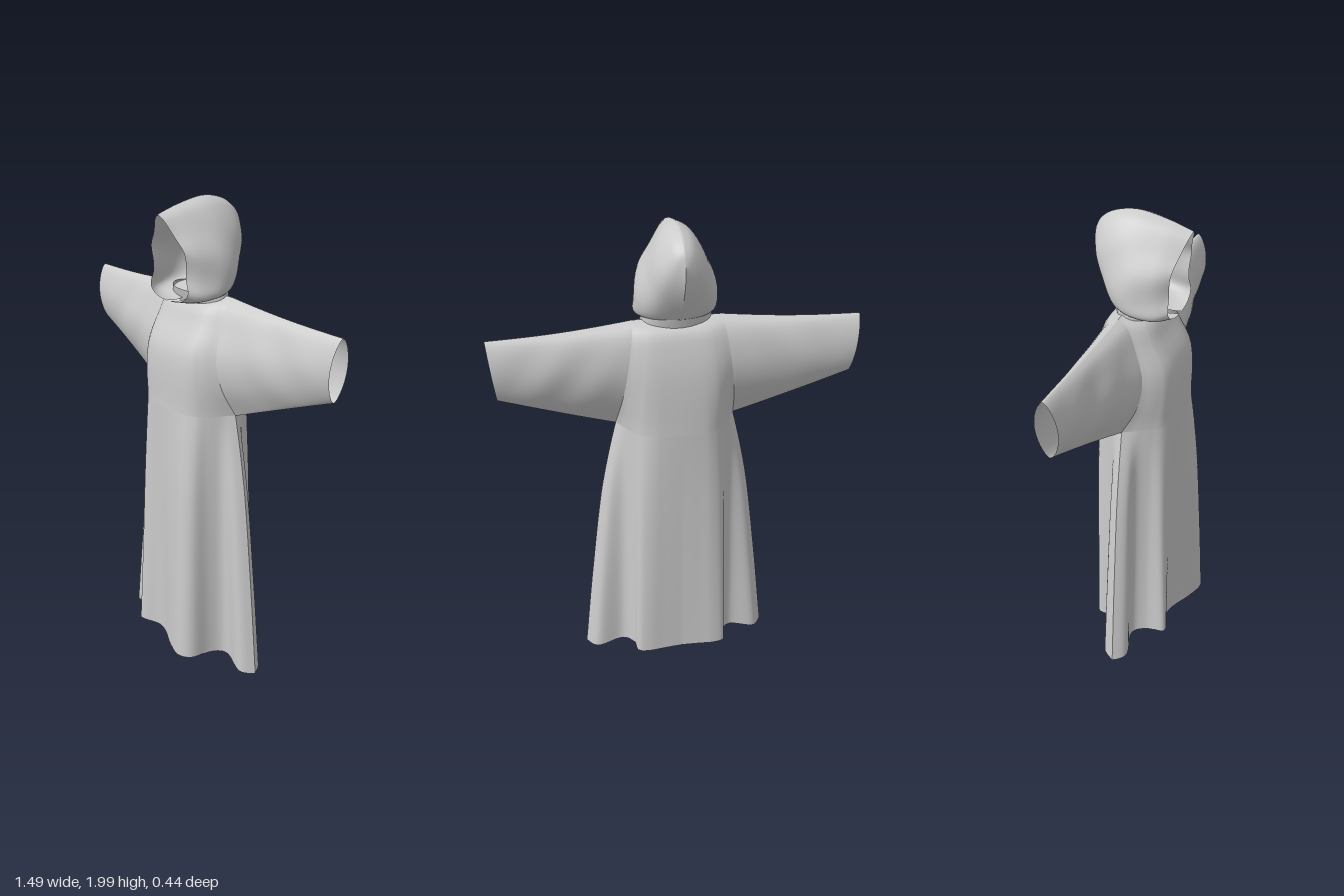
import * as THREE from 'three';

const lerp = THREE.MathUtils.lerp;
const V2 = (list) => new THREE.SplineCurve(list.map(([x, y]) => new THREE.Vector2(x, y)));

// Smooth interpolation through [position, value] pairs
function key(k, x) {
  let i = 0;
  while (i < k.length - 2 && x > k[i + 1][0]) i++;
  const slope = (j) => {
    const a = k[Math.max(j - 1, 0)], b = k[Math.min(j + 1, k.length - 1)];
    return (b[1] - a[1]) / (b[0] - a[0]);
  };
  const h = k[i + 1][0] - k[i][0];
  const t = THREE.MathUtils.clamp((x - k[i][0]) / h, 0, 1), t2 = t * t, t3 = t2 * t;
  return (2 * t3 - 3 * t2 + 1) * k[i][1] + (t3 - 2 * t2 + t) * h * slope(i) +
    (3 * t2 - 2 * t3) * k[i + 1][1] + (t3 - t2) * h * slope(i + 1);
}

// Grid surface from a rule f(u, v) -> [x, y, z]
function surface(name, nu, nv, f) {
  const pos = [], idx = [];
  for (let j = 0; j <= nv; j++) {
    for (let i = 0; i <= nu; i++) {
      pos.push(...f(i / nu, j / nv));
      if (i < nu && j < nv) {
        const a = j * (nu + 1) + i, b = a + 1, c = a + nu + 1, d = c + 1;
        idx.push(a, b, d, a, d, c);
      }
    }
  }
  const g = new THREE.BufferGeometry();
  g.setAttribute('position', new THREE.Float32BufferAttribute(pos, 3));
  g.setIndex(idx);
  g.computeVertexNormals();
  const mesh = new THREE.Mesh(g, new THREE.MeshStandardMaterial({ color: 0xcccccc, side: THREE.DoubleSide }));
  mesh.name = name;
  return mesh;
}

const ARMPIT = 1.16, SHOULDER = 1.625;
// Cosine spacing shared by armholes and sleeves so their seams meet
const cosine = (t) => (1 - Math.cos(Math.PI * t)) / 2;

// How far the skirt has narrowed from hem (0) to armpit (1)
const NARROW = [[0, 0], [0.4, 0.26], [0.8, 0.56], [1.0, 0.78], [ARMPIT, 1]];
const SEAM_X = [[ARMPIT, 0.25], [1.4, 0.215], [SHOULDER, 0.18]];
// Panel profiles: hem is [x, z], chest is [x, depth fraction]
const CHEST = V2([[0, 1], [0.06, 0.99], [0.115, 0.95], [0.16, 0.82], [0.19, 0.61], [0.215, 0.38], [0.235, 0.16], [0.25, 0]]);
const PANELS = {
  front: {
    sign: 1,
    hem: V2([[0, 0.16], [0.08, 0.165], [0.16, 0.185], [0.205, 0.165], [0.215, 0.08], [0.26, 0.025], [0.37, 0.05], [0.42, 0]]),
    centre: [[ARMPIT, 0.155], [1.4, 0.145], [1.52, 0.085], [1.6, 0.035], [SHOULDER, -0.05]],
    edge: [[ARMPIT, -0.01], [1.28, 0.05], [1.4, 0.065], [1.52, 0.028], [1.6, -0.01], [SHOULDER, -0.05]],
  },
  back: {
    sign: -1,
    hem: V2([[0, -0.17], [0.08, -0.175], [0.15, -0.18], [0.2, -0.165], [0.21, -0.1], [0.26, -0.05], [0.37, -0.06], [0.42, 0]]),
    centre: [[ARMPIT, -0.178], [1.4, -0.17], [1.52, -0.15], [1.6, -0.115], [SHOULDER, -0.05]],
    edge: [[ARMPIT, -0.01], [1.28, -0.085], [1.4, -0.125], [1.52, -0.125], [1.6, -0.095], [SHOULDER, -0.05]],
  },
};

// Robe panel: flared skirt with side folds, open armholes above the armpit
function robePanel(name) {
  const { sign, hem, centre, edge } = PANELS[name];
  return surface(name + 'Panel', 80, 48, (s, v) => {
    const u = (s * 2 - 1) * sign, side = Math.sign(u);
    const y = v <= 0.5 ? v * 2 * ARMPIT : lerp(ARMPIT, SHOULDER, cosine(v * 2 - 1));
    const a = key(NARROW, y);
    const h = hem.getPoint(Math.abs(u)), c = CHEST.getPoint(Math.abs(u));
    const e = key(edge, y);
    const x = lerp(h.x, c.x * key(SEAM_X, y) / 0.25, a);
    let z = lerp(h.y, e + (key(centre, y) - e) * c.y, a);
    // the left front fold swells more than the right
    if (sign > 0 && x < 0.22) z += side * 0.035 * (1 - a) * Math.sin(Math.PI * x / 0.22);
    const lift = x > 0.21 ? lerp(0.045, 0.008, Math.min(1, (x - 0.21) / 0.2)) : 0.05;
    return [side * x, y + lift * Math.max(0, 1 - y / 0.5), z];
  });
}

// Sleeve: loft from the armhole seam to a flat oval cuff
function sleeve(name, side) {
  return surface(name, 30, 48, (t0, s0) => {
    const t = side > 0 ? t0 : 1 - t0;
    const front = s0 <= 0.5;
    const k = cosine(front ? s0 * 2 : 2 - s0 * 2);
    const y0 = lerp(ARMPIT, SHOULDER, k), y1 = lerp(1.34, 1.592, k);
    const z0 = key(PANELS[front ? 'front' : 'back'].edge, y0);
    const z1 = -0.072 + (front ? 1 : -1) * 0.046 * Math.pow(Math.sin(Math.PI * k), 0.6);
    const ease = t * (1.35 - 0.35 * t);
    const wave = 0.004 * Math.sin(t * 14 + k * 5) * Math.sin(Math.PI * t) * Math.sin(Math.PI * k);
    return [side * lerp(key(SEAM_X, y0), lerp(0.72, 0.747, k), t),
      lerp(y0, y1, t) - 0.008 * k * Math.sin(Math.PI * t), lerp(z0, z1, ease) + wave];
  });
}

// Hood: arches swept from the narrow peaked face opening to the back ridge
function hood() {
  const rimArch = V2([[0, 1], [0.25, 0.93], [0.55, 0.76], [0.92, 0.56], [0.88, 0.3], [1, 0.12], [0.65, 0.02], [0.08, -0.01]]);
  const arch = V2([[0, 1], [0.3, 0.93], [0.62, 0.72], [0.86, 0.46], [1, 0.2], [0.96, 0.05], [0.65, 0], [0.08, -0.01]]);
  const at = (...v) => v.map((n, i) => [i / (v.length - 1), n]);
  const width = at(0.118, 0.152, 0.168, 0.15, 0.1, 0);
  const top = at(1.95, 1.98, 2.0, 1.98, 1.935, 1.87);
  const low = at(1.61, 1.605, 1.615, 1.625, 1.635, 1.645);
  const zTop = at(0.18, 0.08, -0.04, -0.14, -0.2, -0.222);
  const zLow = at(0.135, 0.08, 0.01, -0.05, -0.1, -0.125);
  return surface('hood', 64, 40, (s, v) => {
    const u = s * 2 - 1, rim = Math.pow(1 - v, 4);
    const p = arch.getPoint(Math.abs(u)).lerp(rimArch.getPoint(Math.abs(u)), rim);
    const f = THREE.MathUtils.clamp(p.y, 0, 1);
    // the rim dips back beside the peak
    const dip = rim * 0.028 * Math.sin(Math.PI * f);
    const z = lerp(key(zLow, v), key(zTop, v), lerp(Math.sin(f * Math.PI / 2), f, rim)) - dip;
    const fold = 1 + 0.03 * Math.sin(f * 11 + v * 9) * Math.sin(Math.PI * f);
    return [Math.sign(u) * p.x * key(width, v) * fold, lerp(key(low, v), key(top, v), p.y), z];
  });
}

// Collar: short oval band joining the shoulders to the hood
function collar() {
  return surface('collar', 40, 4, (u, v) => {
    const a = u * Math.PI * 2;
    return [Math.sin(a) * lerp(0.15, 0.14, v), lerp(1.58, 1.64, v), -0.03 + Math.cos(a) * lerp(0.075, 0.09, v)];
  });
}

export function createModel() {
  const model = new THREE.Group();
  model.name = 'hoodedRobe';
  const robe = new THREE.Group();
  robe.name = 'robe';
  robe.add(robePanel('front'), robePanel('back'), collar());
  model.add(robe, sleeve('leftSleeve', 1), sleeve('rightSleeve', -1), hood());
  return model;
}
